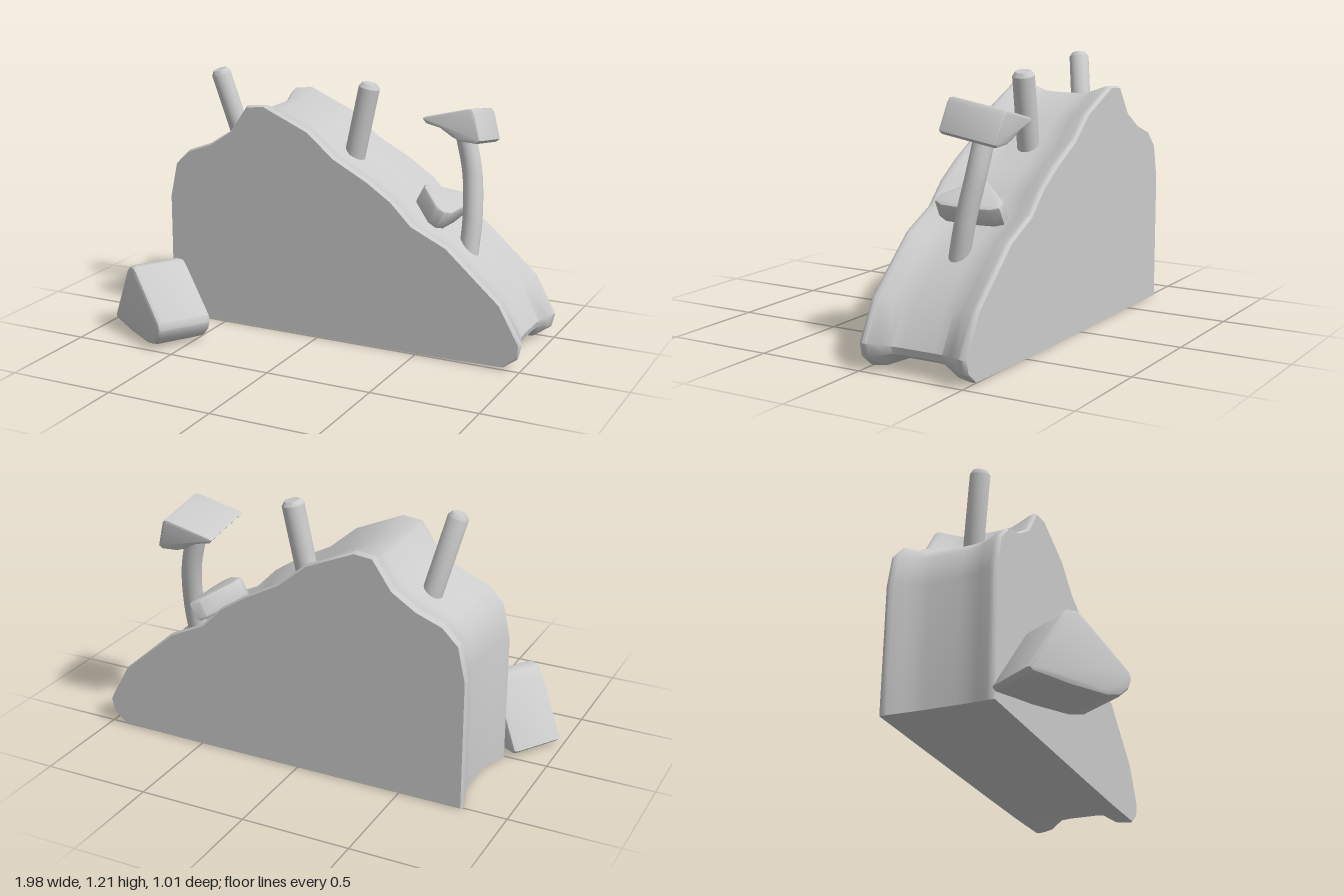
import * as THREE from 'three';
import { toCreasedNormals } from 'three/addons/utils/BufferGeometryUtils.js';

const material = new THREE.MeshStandardMaterial({ color: 0xcccccc });

// Moves a counter-clockwise outline inward by a distance, with mitred corners
function insetOutline(points, distance) {
  const count = points.length;
  return points.map((p, i) => {
    const a = points[(i + count - 1) % count], b = points[(i + 1) % count];
    const n1 = new THREE.Vector2(a.y - p.y, p.x - a.x).normalize();
    const n2 = new THREE.Vector2(p.y - b.y, b.x - p.x).normalize();
    const miter = n1.clone().add(n2).divideScalar(1 + n1.dot(n2));
    return p.clone().addScaledVector(miter, distance);
  });
}

// Capped loft along +z; each ring is [z, inset]
function loft(outline, rings, crease = 0.7) {
  const points = outline.map(([x, y]) => new THREE.Vector2(x, y));
  const count = points.length;
  const positions = [], index = [];
  for (const [z, inset] of rings) {
    for (const p of insetOutline(points, inset)) positions.push(p.x, p.y, z);
  }
  for (let r = 0; r < rings.length - 1; r++) {
    for (let i = 0; i < count; i++) {
      const j = (i + 1) % count;
      const a = r * count + i, b = r * count + j;
      index.push(a, b, b + count, a, b + count, a + count);
    }
  }
  const last = (rings.length - 1) * count;
  const backCap = THREE.ShapeUtils.triangulateShape(insetOutline(points, rings[0][1]), []);
  const frontCap = THREE.ShapeUtils.triangulateShape(insetOutline(points, rings.at(-1)[1]), []);
  for (const [a, b, c] of backCap) index.push(a, c, b);
  for (const [a, b, c] of frontCap) index.push(last + a, last + b, last + c);
  const geometry = new THREE.BufferGeometry();
  geometry.setAttribute('position', new THREE.Float32BufferAttribute(positions, 3));
  geometry.setIndex(index);
  return toCreasedNormals(geometry, crease);
}

// Ring list for a solid with softened end edges
function softEnds(depth, r) {
  return [[0, r], [r * 0.3, r * 0.3], [r, 0], [depth - r, 0], [depth - r * 0.3, r * 0.3], [depth, r]];
}

function addMesh(parent, name, geometry) {
  const mesh = new THREE.Mesh(geometry, material);
  mesh.name = name;
  parent.add(mesh);
  return mesh;
}

// Straight round peg with a softened top
function addPeg(parent, name, bottom, top, radius) {
  const from = new THREE.Vector3(...bottom);
  const axis = new THREE.Vector3(...top).sub(from);
  const h = axis.length();
  const profile = [[0, 0], [radius, 0], [radius, h - 0.02], [radius * 0.7, h], [0, h]]
    .map(([x, y]) => new THREE.Vector2(x, y));
  const geometry = toCreasedNormals(new THREE.LatheGeometry(profile, 24), 0.6);
  const peg = addMesh(parent, name, geometry);
  peg.position.copy(from);
  peg.quaternion.setFromUnitVectors(new THREE.Vector3(0, 1, 0), axis.normalize());
}

export function createModel() {
  const model = new THREE.Group();
  model.name = 'wedge';

  // Large wedge body with a raised rim along both flat sides
  const bodyOutline = [
    [-0.8, 0], [0.3, 0], [0.65, 0.005], [0.92, 0.02], [0.985, 0.055], [1, 0.12],
    [0.9, 0.3], [0.64, 0.53], [0.47, 0.61], [0.37, 0.71], [0.25, 0.79], [0.08, 0.88],
    [-0.05, 0.99], [-0.28, 1.09], [-0.37, 1.08], [-0.46, 0.95], [-0.57, 0.88],
    [-0.69, 0.835], [-0.765, 0.76], [-0.8, 0.6],
  ];
  const bodyRings = [
    [-0.515, 0.008], [-0.5, 0], [-0.48, 0.004], [-0.43, 0.022], [-0.38, 0.038], [-0.33, 0.042],
    [-0.185, 0.042], [-0.135, 0.038], [-0.085, 0.022], [-0.035, 0.004], [-0.015, 0], [0, 0.008],
  ];
  // The underside stays almost flat
  const body = loft(bodyOutline, bodyRings);
  const pos = body.attributes.position;
  for (let i = 0; i < pos.count; i++) {
    if (pos.getY(i) < 0.05) pos.setY(i, pos.getY(i) * 0.4);
  }
  addMesh(model, 'body', toCreasedNormals(body, 0.7));

  // Loose chunk lying in front
  const chunk = addMesh(model, 'looseChunk', loft([
    [0, 0.03], [0.02, 0.012], [0.1, 0.008], [0.2, 0], [0.38, 0], [0.45, 0.018],
    [0.495, 0.06], [0.51, 0.1], [0.5, 0.135], [0.27, 0.315], [0.235, 0.335],
    [0.19, 0.33], [0.155, 0.295],
  ], softEnds(0.27, 0.02)));
  chunk.position.set(-0.845, 0, 0.002);
  chunk.rotation.y = -0.57;

  // Pegs standing in the top
  addPeg(model, 'rightPeg', [-0.51, 0.8, -0.25], [-0.61, 1.205, -0.175], 0.046);
  addPeg(model, 'leftPeg', [0.055, 0.8, -0.27], [0.132, 1.18, -0.282], 0.05);

  // Curved stem rising from the slope
  const stemPath = new THREE.CatmullRomCurve3([
    [0.645, 0.4, -0.26], [0.648, 0.6, -0.3], [0.625, 0.8, -0.34], [0.575, 0.99, -0.36],
  ].map((p) => new THREE.Vector3(...p)));
  addMesh(model, 'curvedStem', new THREE.TubeGeometry(stemPath, 24, 0.046, 20));

  // Tilted wedge-shaped head on the stem
  const head = addMesh(model, 'stemHead', loft([
    [-0.14, 0.045], [-0.12, 0.025], [-0.05, 0.01], [0.01, -0.025], [0.05, -0.04],
    [0.13, -0.045], [0.148, -0.03], [0.11, 0.09], [0.095, 0.108], [0.07, 0.106], [-0.125, 0.055],
  ], softEnds(0.28, 0.012)));
  head.position.set(0.56, 0.965, -0.485);
  head.rotation.x = -0.16;

  // Three-cornered chip resting on the slope
  const chip = addMesh(model, 'slopeChip', loft([
    [0, -0.03], [0.12, -0.14], [0.165, -0.143], [0.19, -0.1], [0.195, 0.02], [0.19, 0.14],
    [0.17, 0.178], [0.12, 0.17], [0, 0.035], [-0.008, 0],
  ], softEnds(0.095, 0.012)));
  const downhill = new THREE.Vector3(0.88, -0.47, 0).normalize();
  const outward = new THREE.Vector3(0.47, 0.88, 0).normalize();
  chip.quaternion.setFromRotationMatrix(
    new THREE.Matrix4().makeBasis(downhill, new THREE.Vector3(0, 0, -1), outward));
  chip.position.set(0.395, 0.655, -0.25);

  return model;
}
